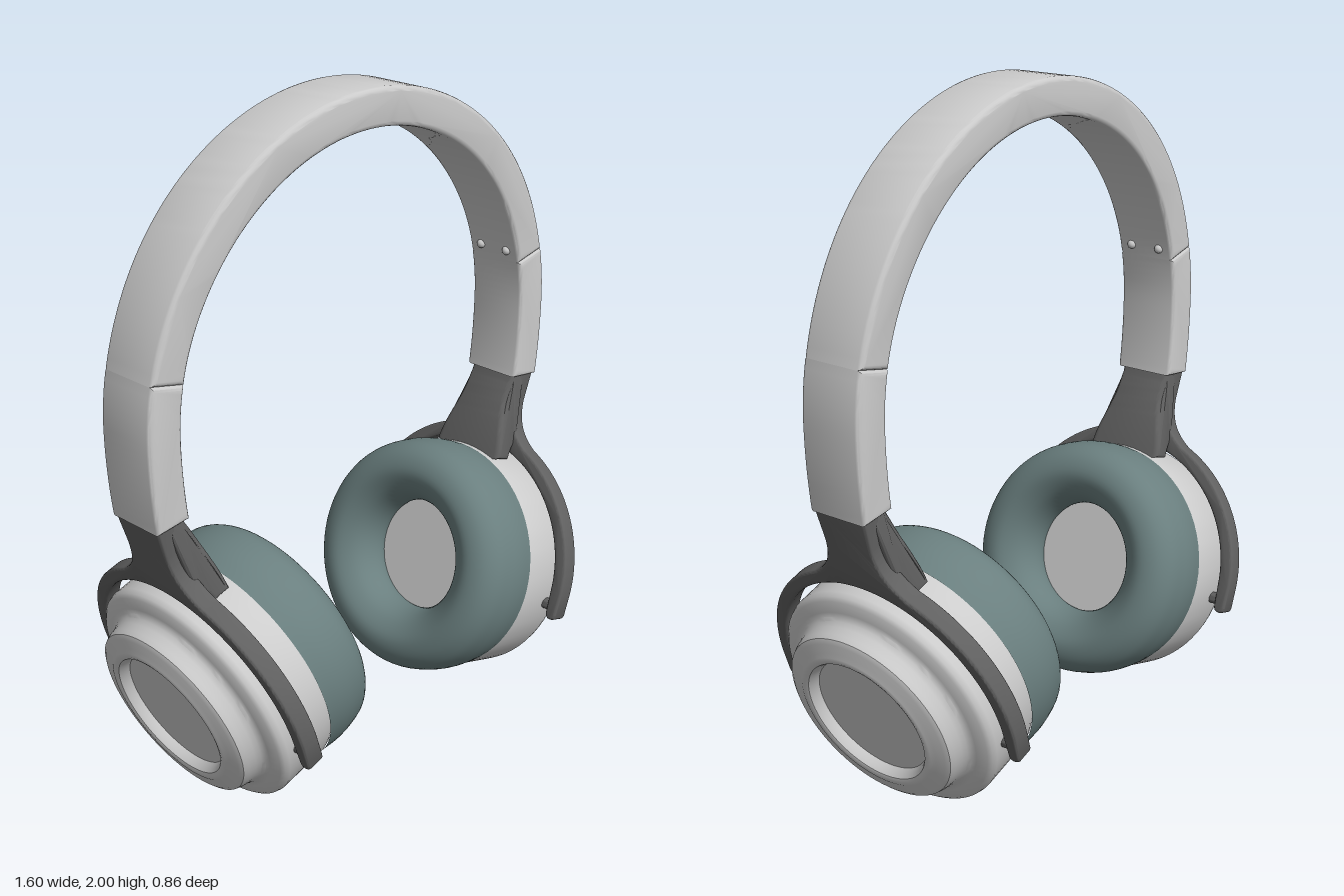
import * as THREE from 'three';
import { toCreasedNormals } from 'three/addons/utils/BufferGeometryUtils.js';

const grey = new THREE.MeshStandardMaterial({ color: 0xcccccc });
const dark = new THREE.MeshStandardMaterial({ color: 0x606060 });
const teal = new THREE.MeshStandardMaterial({ color: 0x6a7f7f });

const TILT = 0.305; // lean of each ear cup
const SEAM = 0.22; // band angle where the end sleeves begin

function add(parent, name, geometry, material, crease = 0.7) {
  const mesh = new THREE.Mesh(crease ? toCreasedNormals(geometry, crease) : geometry, material);
  mesh.name = name;
  parent.add(mesh);
  return mesh;
}

// Extrusion centred on z with rounded edges that stay inside the outline
function slab(shape, depth, bevel, curveSegments = 32) {
  const g = new THREE.ExtrudeGeometry(shape, {
    depth: depth - 2 * bevel, bevelEnabled: true, bevelThickness: bevel,
    bevelSize: bevel, bevelOffset: -bevel, bevelSegments: 3, curveSegments,
  });
  return g.translate(0, 0, -depth / 2 + bevel);
}

// Turned part whose axis runs along x
function turned(points) {
  return new THREE.LatheGeometry(points, 72).rotateZ(-Math.PI / 2);
}
const vec = ([x, y]) => new THREE.Vector2(x, y);

// Point on the headband; offset is measured from its centre line
function bandPoint(a, offset) {
  if (a > Math.PI / 2) {
    const p = bandPoint(Math.PI - a, offset);
    return p.setX(-p.x);
  }
  const n = a < 0 ? 0.42 * a : a;
  return new THREE.Vector2(
    0.745 * Math.cos(a < 0 ? 0.65 * a : a) + offset * Math.cos(n),
    1.2 + 0.745 * Math.sin(a) + offset * Math.sin(n));
}

function bandShape(from, to, steps) {
  const outer = [], inner = [];
  for (let i = 0; i <= steps; i++) {
    const a = from + (to - from) * i / steps;
    outer.push(bandPoint(a, 0.055));
    inner.unshift(bandPoint(a, -0.055));
  }
  return new THREE.Shape([...outer, ...inner]);
}

function headband() {
  const g = slab(bandShape(SEAM, Math.PI - SEAM, 72), 0.21, 0.014);
  // slightly narrower toward the sleeves
  const p = g.attributes.position;
  for (let i = 0; i < p.count; i++) {
    const t = THREE.MathUtils.smoothstep(p.getY(i), 1.36, 1.85);
    p.setZ(i, p.getZ(i) * (0.93 + 0.07 * t));
  }
  return g;
}

// Fork that holds the cup: a stem opening into two arms
function yokeGeometry() {
  const s = new THREE.Shape();
  s.moveTo(0.388, -0.07);
  s.quadraticCurveTo(0.39, -0.088, 0.406, -0.088);
  s.quadraticCurveTo(0.425, -0.088, 0.426, -0.07);
  s.lineTo(0.428, 0);
  s.absarc(0, 0, 0.428, 0, 1.17, false);
  s.bezierCurveTo(0.12, 0.425, 0.085, 0.46, 0.083, 0.54);
  s.lineTo(0.088, 0.655);
  s.lineTo(-0.088, 0.655);
  s.lineTo(-0.083, 0.54);
  s.bezierCurveTo(-0.085, 0.46, -0.12, 0.425, 0.428 * Math.cos(Math.PI - 1.17), 0.428 * Math.sin(1.17));
  s.absarc(0, 0, 0.428, Math.PI - 1.17, Math.PI, false);
  s.lineTo(-0.426, -0.07);
  s.quadraticCurveTo(-0.425, -0.088, -0.406, -0.088);
  s.quadraticCurveTo(-0.39, -0.088, -0.388, -0.07);
  s.lineTo(-0.386, 0);
  s.absarc(0, 0, 0.386, Math.PI, 0, true);
  return slab(s, 0.058, 0.008).rotateY(Math.PI / 2).translate(0.127, 0, 0);
}

// Curved brace from the stem down to the top of the shell, flaring in z
function braceGeometry() {
  const s = new THREE.Shape();
  s.moveTo(0.12, 0.64);
  s.lineTo(0.062, 0.64);
  s.lineTo(0.06, 0.6);
  s.quadraticCurveTo(0.03, 0.5, 0.022, 0.35);
  s.lineTo(0.085, 0.35);
  s.quadraticCurveTo(0.09, 0.39, 0.12, 0.41);
  s.closePath();
  const g = slab(s, 0.2, 0.014, 16);
  const p = g.attributes.position;
  for (let i = 0; i < p.count; i++) {
    const t = THREE.MathUtils.smoothstep(p.getY(i), 0.34, 0.56);
    p.setZ(i, p.getZ(i) * (1.28 - 0.45 * t));
  }
  return g;
}

const shellProfile = [
  [0.33, -0.01], [0.362, -0.005], [0.366, 0.01], [0.366, 0.165], [0.361, 0.18], [0.35, 0.189],
  [0.318, 0.196], [0.306, 0.2], [0.298, 0.208], [0.29, 0.222], [0.285, 0.245], [0.279, 0.26], [0.266, 0.268],
  [0.238, 0.271], [0.226, 0.278], [0.214, 0.28], [0.204, 0.276], [0.197, 0.265], [0.19, 0.245],
].map(vec);

const padProfile = new THREE.SplineCurve([
  [0.2, -0.03], [0.175, -0.07], [0.18, -0.125], [0.21, -0.175], [0.265, -0.205],
  [0.32, -0.194], [0.357, -0.155], [0.37, -0.1], [0.372, -0.05], [0.366, 0],
].map(vec)).getPoints(40);

function earpiece() {
  const side = new THREE.Group();
  const cup = new THREE.Group();
  cup.position.set(0.44, 0.4, 0);
  cup.rotation.z = -TILT;
  side.add(cup);

  add(cup, 'cupShell', turned(shellProfile), grey, 0.6);
  add(cup, 'outerPlate', turned([[0.195, 0.246], [0, 0.246]].map(vec)), grey, 0);
  add(cup, 'speakerCover', turned([[0, -0.06], [0.2, -0.06]].map(vec)), grey, 0);
  add(cup, 'earCushion', turned(padProfile), teal, 0);
  add(cup, 'yoke', yokeGeometry(), dark);
  add(cup, 'yokeBrace', braceGeometry(), dark);
  for (const z of [-0.375, 0.375]) {
    const pin = new THREE.CylinderGeometry(0.018, 0.018, 0.05, 20).rotateX(Math.PI / 2);
    add(cup, 'pivotPin', pin, dark).position.set(0.127, -0.05, z);
  }

  // sleeve and rivets at the end of the band
  add(side, 'bandSleeve', slab(bandShape(-0.325, SEAM, 16), 0.195, 0.012), grey);
  for (const z of [-0.05, 0.05]) {
    const p = bandPoint(0.27, -0.055);
    const rivet = add(side, 'rivet', new THREE.SphereGeometry(0.014, 16, 10), grey, 0);
    rivet.position.set(p.x, p.y, z);
  }
  return side;
}

export function createModel() {
  const model = new THREE.Group();
  model.name = 'headphones';
  add(model, 'headband', headband(), grey);
  // each side is symmetric in z, so a half turn gives the other one
  ['leftEarpiece', 'rightEarpiece'].forEach((name, i) => {
    const side = earpiece();
    side.name = name;
    side.rotation.y = i * Math.PI;
    model.add(side);
  });
  return model;
}
